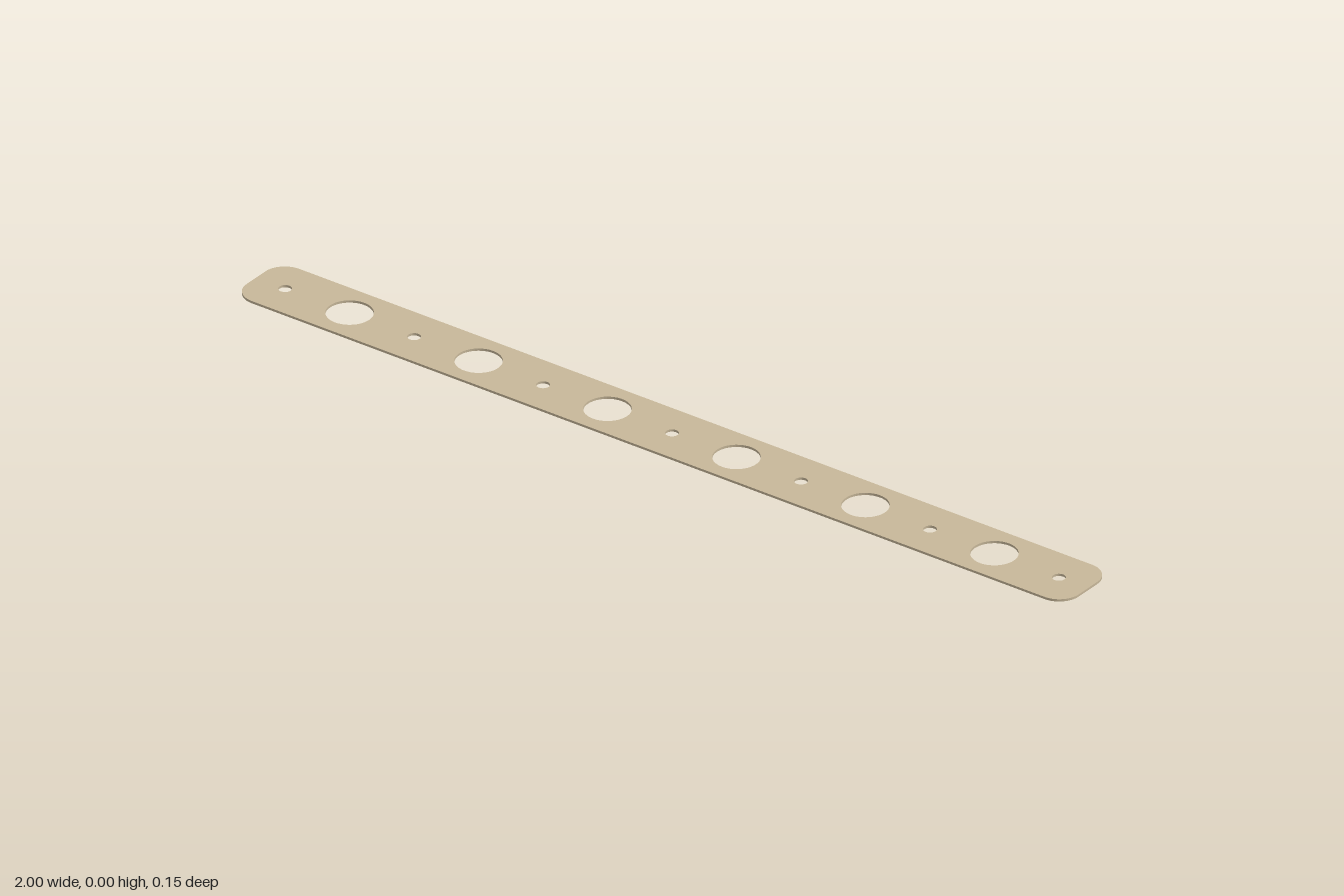
import * as THREE from 'three';

const HALF_LENGTH = 1, HALF_WIDTH = 0.077, THICKNESS = 0.005;
const CORNER = 0.047, PITCH = 0.31, LARGE_HOLE = 0.047, SMALL_HOLE = 0.0135;

// Rectangle with rounded corners, drawn counter-clockwise
function roundedOutline(a, b, r) {
  const shape = new THREE.Shape();
  shape.absarc(a - r, -b + r, r, -Math.PI / 2, 0);
  shape.absarc(a - r, b - r, r, 0, Math.PI / 2);
  shape.absarc(-a + r, b - r, r, Math.PI / 2, Math.PI);
  shape.absarc(-a + r, -b + r, r, Math.PI, Math.PI * 1.5);
  shape.closePath();
  return shape;
}

function addHole(shape, x, radius) {
  shape.holes.push(new THREE.Path().absarc(x, 0, radius, 0, Math.PI * 2, true));
}

export function createModel() {
  const group = new THREE.Group();
  group.name = 'perforatedStrip';

  const outline = roundedOutline(HALF_LENGTH, HALF_WIDTH, CORNER);
  // Seven small fixing holes alternate with six large holes
  for (let i = -3; i <= 3; i++) {
    addHole(outline, i * PITCH, SMALL_HOLE);
    if (i < 3) addHole(outline, (i + 0.5) * PITCH, LARGE_HOLE);
  }

  // Thin plate laid flat on the ground
  const geometry = new THREE.ExtrudeGeometry(outline, {
    depth: THICKNESS, bevelEnabled: false, curveSegments: 24,
  });
  geometry.rotateX(-Math.PI / 2);

  const plate = new THREE.Mesh(geometry, new THREE.MeshStandardMaterial({ color: 0xc8b89a }));
  plate.name = 'plate';
  group.add(plate);
  return group;
}
